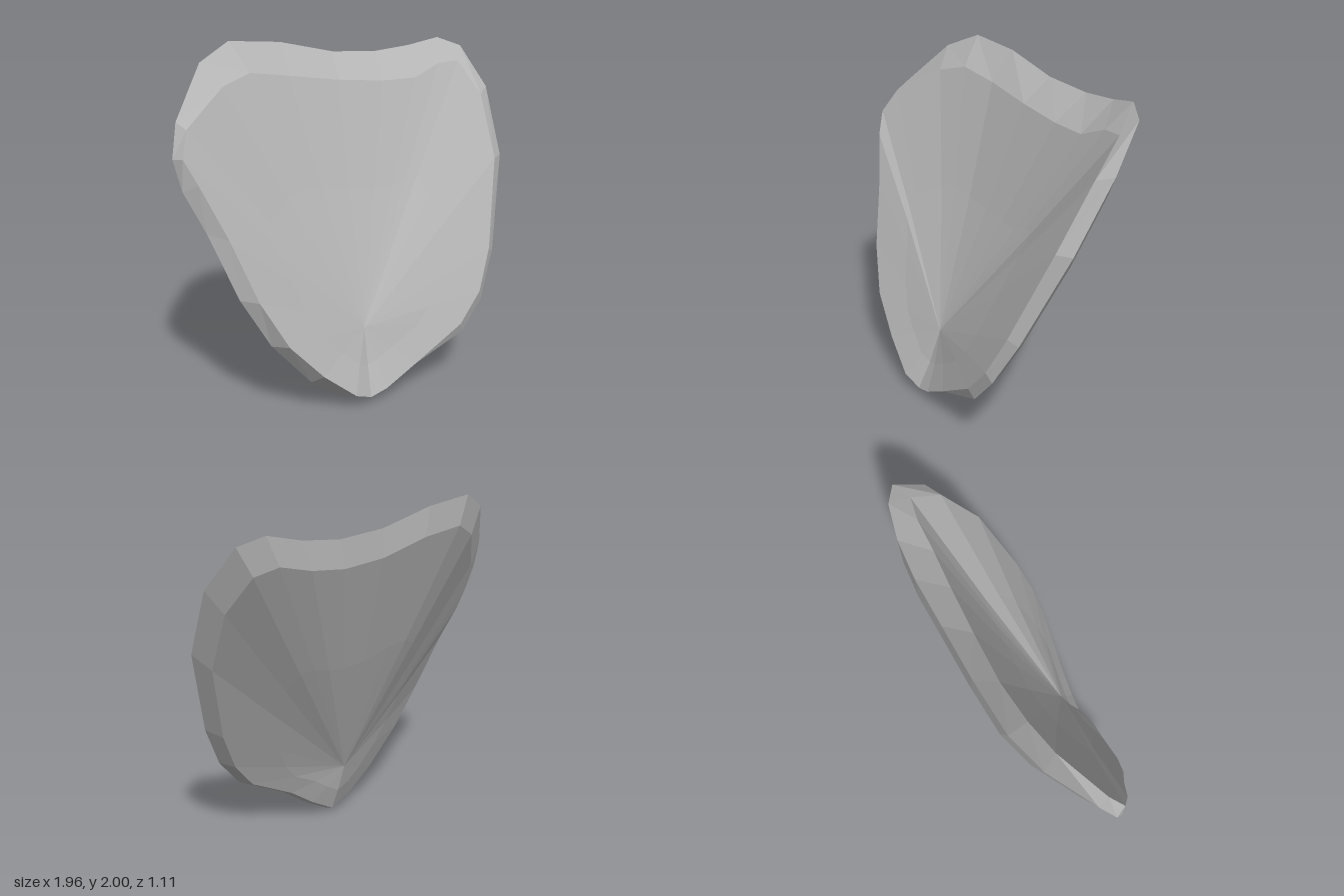
import * as THREE from 'three';

// Outermost edge of the plate, from the bottom tip up the right side, over the top and down the left
const outerEdge = [
  [0.05, 0, 0.32], [-0.12, 0.06, 0.40], [-0.30, 0.20, 0.46], [-0.52, 0.46, 0.50],
  [-0.68, 0.74, 0.50], [-0.83, 1.10, 0.44], [-0.94, 1.32, 0.40], [-0.98, 1.48, 0.35],
  [-0.95, 1.65, 0.25], [-0.80, 1.91, 0], [-0.63, 2.00, -0.14], [-0.33, 1.97, -0.26],
  [0, 1.89, -0.37], [0.28, 1.87, -0.47], [0.50, 1.89, -0.53], [0.69, 1.93, -0.55],
  [0.83, 1.88, -0.52], [0.95, 1.65, -0.36], [0.98, 1.27, -0.15], [0.87, 0.75, 0.08],
  [0.77, 0.49, 0.19], [0.64, 0.32, 0.25], [0.36, 0.19, 0.28], [0.20, 0.08, 0.30],
];

// Edge of the hollow front face, in the same order
const frontEdge = [
  [0.05, 0.05, 0.43], [-0.05, 0.10, 0.49], [-0.24, 0.26, 0.53], [-0.43, 0.47, 0.56],
  [-0.58, 0.73, 0.54], [-0.72, 1.07, 0.48], [-0.86, 1.36, 0.44], [-0.93, 1.49, 0.40],
  [-0.90, 1.62, 0.31], [-0.69, 1.79, 0.08], [-0.53, 1.84, -0.03], [-0.30, 1.80, -0.13],
  [0, 1.75, -0.22], [0.28, 1.72, -0.30], [0.50, 1.72, -0.36], [0.66, 1.79, -0.42],
  [0.79, 1.80, -0.44], [0.89, 1.62, -0.28], [0.92, 1.27, -0.08], [0.83, 0.78, 0.13],
  [0.75, 0.55, 0.22], [0.62, 0.38, 0.28], [0.33, 0.19, 0.35], [0.15, 0.08, 0.40],
];

// Low points that the front and back facets fan out from
const frontHub = [0.04, 0.42, 0.29];
const backHub = [0, 0.35, 0.15];

// Moves a ring towards a hub, then shifts it in z
const shrink = (ring, hub, s, dz = 0) =>
  ring.map((p) => p.map((v, k) => hub[k] + (v - hub[k]) * s + (k === 2 ? dz : 0)));

// Skins a run of rings; a null hub entry closes nothing
function skin(rings, material, name) {
  const pos = [];
  const n = rings[0].length;
  for (let r = 0; r + 1 < rings.length; r++) {
    const a = rings[r], b = rings[r + 1];
    for (let i = 0; i < n; i++) {
      const j = (i + 1) % n;
      if (r > 0 || a[i] !== a[j]) pos.push(...a[i], ...a[j], ...b[i]);
      if (b[i] !== b[j]) pos.push(...a[j], ...b[j], ...b[i]);
    }
  }
  const geometry = new THREE.BufferGeometry();
  geometry.setAttribute('position', new THREE.Float32BufferAttribute(pos, 3));
  geometry.computeVertexNormals();
  const mesh = new THREE.Mesh(geometry, material);
  mesh.name = name;
  return mesh;
}

export function createModel() {
  const grey = new THREE.MeshStandardMaterial({ color: 0xb4b4b4, flatShading: true });
  grey.name = 'grey';

  const backEdge = shrink(outerEdge, backHub, 0.9, -0.06);
  const point = (hub) => outerEdge.map(() => hub);

  const group = new THREE.Group();
  group.name = 'curvedPlate';
  group.add(
    // hollow front
    skin([point(frontHub), shrink(frontEdge, frontHub, 0.55, -0.01), frontEdge], grey, 'frontFace'),
    // bevelled edge
    skin([frontEdge, outerEdge, backEdge], grey, 'rim'),
    // bulging back
    skin([backEdge, shrink(backEdge, backHub, 0.55, -0.01), point(backHub)], grey, 'backFace'),
  );
  return group;
}
